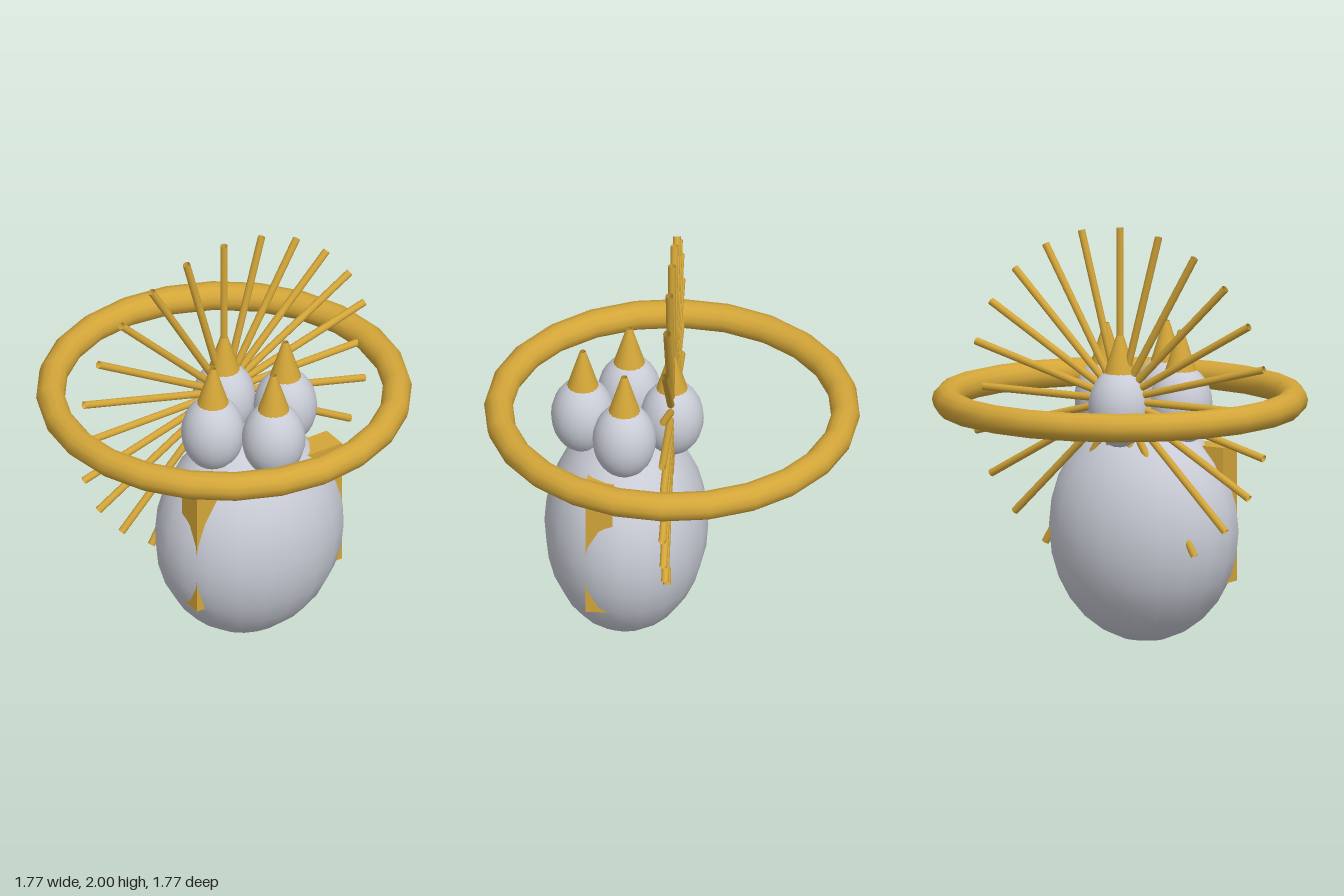
import * as THREE from 'three';

export function createModel() {
  const model = new THREE.Group();
  const silver = new THREE.MeshStandardMaterial({ color: 0xc9ccd6 });
  silver.name = 'silver';
  const gold = new THREE.MeshStandardMaterial({ color: 0xd4a639, side: THREE.DoubleSide });
  gold.name = 'gold';

  const add = (name, geometry, material, x, y, z, parent = model) => {
    const mesh = new THREE.Mesh(geometry, material);
    mesh.name = name;
    mesh.position.set(x, y, z);
    parent.add(mesh);
    return mesh;
  };

  // Egg-shaped body
  const bodyGeometry = new THREE.SphereGeometry(1, 20, 14).scale(0.472, 0.537, 0.386);
  add('body', bodyGeometry, silver, 0, 0.54, 0.215);

  // Breastplate slab, mostly buried so only its corners emerge
  add('breastplate', new THREE.BoxGeometry(0.82, 0.65, 0.128), gold, 0, 0.625, 0.321);

  // Four heads, each with an open pointed crown
  const headGeometry = new THREE.SphereGeometry(1, 20, 14).scale(0.15, 0.19, 0.15);
  const crownGeometry = new THREE.CylinderGeometry(0.014, 0.077, 0.2, 16, 1, true);
  const heads = [
    ['front', 0, 0.42],
    ['left', 0.205, 0.213],
    ['right', -0.205, 0.213],
    ['back', 0, 0],
  ];
  for (const [side, x, z] of heads) {
    add(side + 'Head', headGeometry, silver, x, 1.145, z);
    add(side + 'Crown', crownGeometry, gold, x, 1.4, z);
  }

  // Horizontal ring around the heads
  const ringGeometry = new THREE.TorusGeometry(0.817, 0.068, 12, 24).rotateX(Math.PI / 2);
  add('halo', ringGeometry, gold, 0, 1.182, 0);

  // Upright fan of hollow rays
  const rays = new THREE.Group();
  rays.name = 'rays';
  rays.position.set(0, 1.18, 0);
  model.add(rays);
  const rayLength = 0.82;
  const rayGeometry = new THREE.CylinderGeometry(0.018, 0.018, rayLength, 10, 1, true)
    .translate(0, rayLength / 2, 0);
  for (let i = 0; i < 24; i++) {
    add('ray', rayGeometry, gold, 0, 0, 0, rays).rotation.z = (i * Math.PI) / 12;
  }

  return model;
}
